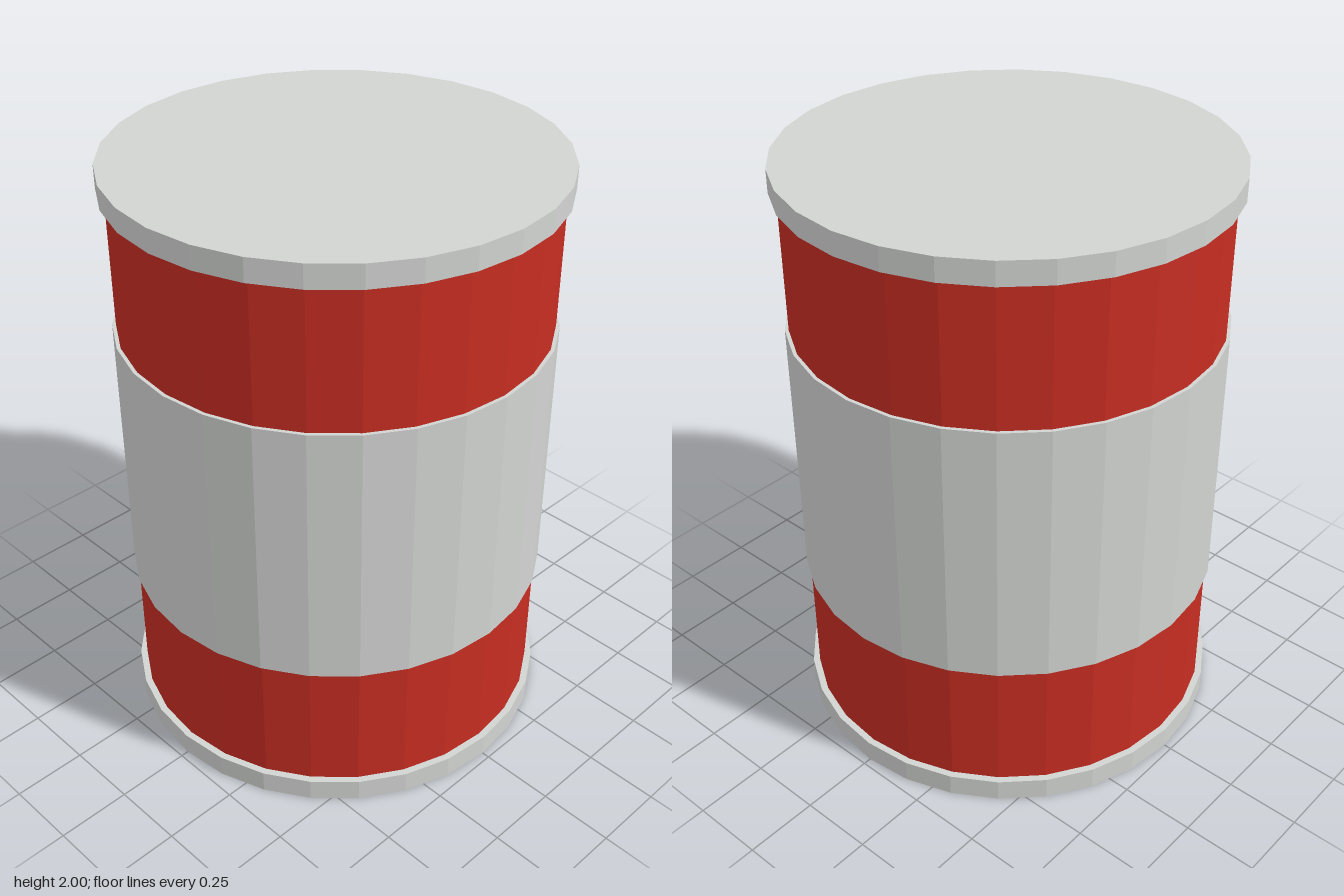
import * as THREE from 'three';

const SIDES = 28;

export function createModel() {
  const group = new THREE.Group();
  group.name = 'drum';

  const red = new THREE.MeshStandardMaterial({ color: 0xc62d22, flatShading: true });
  red.name = 'red paint';
  const grey = new THREE.MeshStandardMaterial({ color: 0xd2d4d2, flatShading: true });
  grey.name = 'light grey metal';

  // Capped upright cylinder spanning y0 to y1
  function addCylinder(name, radius, y0, y1, material) {
    const geometry = new THREE.CylinderGeometry(radius, radius, y1 - y0, SIDES);
    const mesh = new THREE.Mesh(geometry, material);
    mesh.name = name;
    mesh.position.y = (y0 + y1) / 2;
    group.add(mesh);
  }

  addCylinder('body', 0.7, 0.04, 1.96, red);
  addCylinder('middleBand', 0.712, 0.543, 1.457, grey);
  addCylinder('bottomRim', 0.723, 0, 0.077, grey);
  addCylinder('topRim', 0.723, 1.923, 2, grey);

  return group;
}
